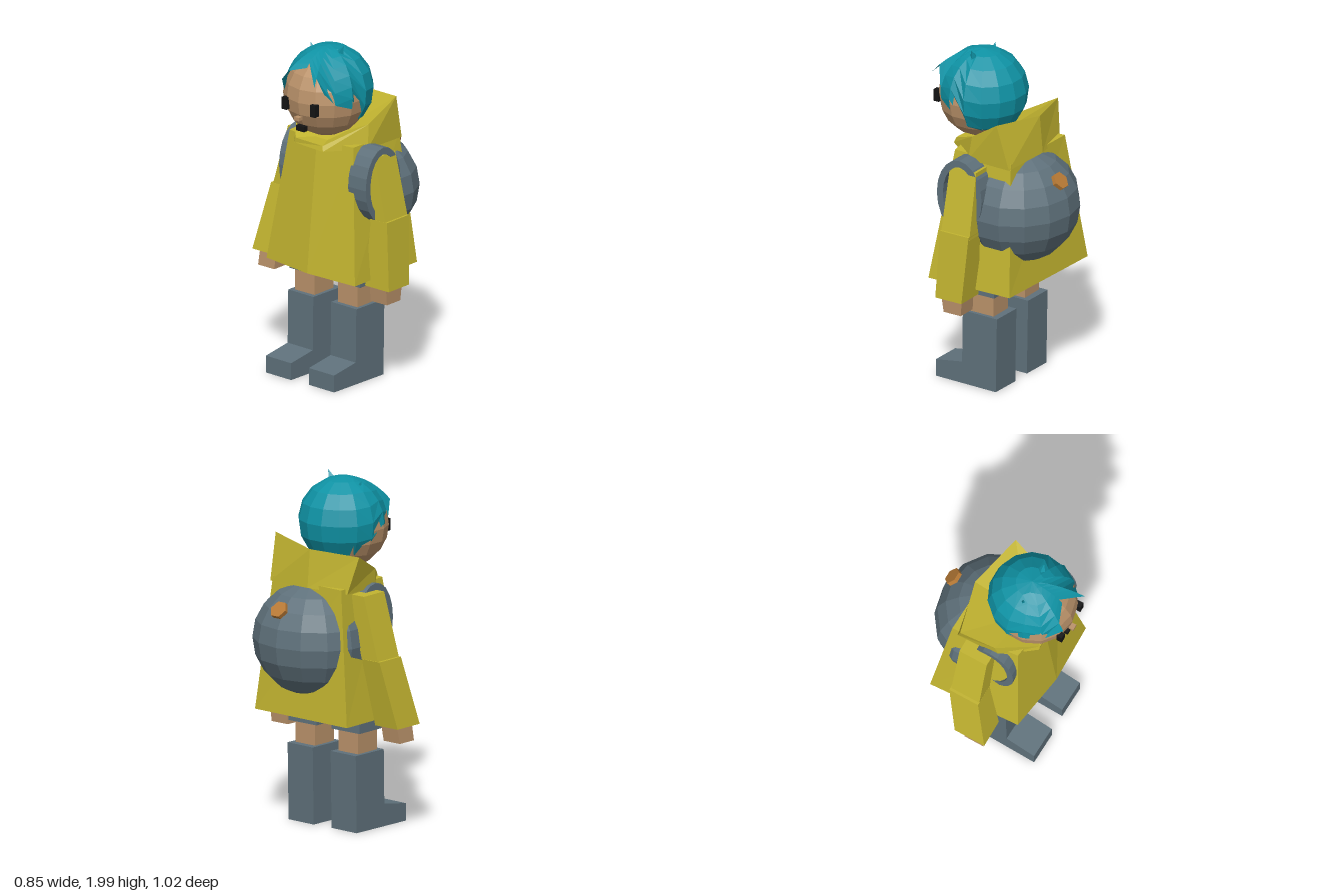
import * as THREE from 'three';

const mat = (color, side = THREE.FrontSide) =>
  new THREE.MeshStandardMaterial({ color, flatShading: true, roughness: 0.9, side });

// Closed skin over rings of [x, y, z] points, listed bottom to top, counterclockwise from above
function loft(rings) {
  const n = rings[0].length, index = [];
  rings.forEach((_, r) => {
    if (r === rings.length - 1) return;
    for (let i = 0; i < n; i++) {
      const a = r * n + i, b = r * n + (i + 1) % n;
      index.push(a, b, b + n, a, b + n, a + n);
    }
  });
  const top = (rings.length - 1) * n;
  for (let i = 1; i < n - 1; i++) index.push(0, i + 1, i, top, top + i, top + i + 1);
  const g = new THREE.BufferGeometry();
  g.setAttribute('position', new THREE.Float32BufferAttribute(rings.flat(2), 3));
  g.setIndex(index);
  const flat = g.toNonIndexed();
  flat.computeVertexNormals();
  return flat;
}
const rect = (y, x0, x1, z0, z1) => [[x1, y, z1], [x1, y, z0], [x0, y, z0], [x0, y, z1]];

export function createModel() {
  const model = new THREE.Group();
  const yellow = mat(0xc2b430), teal = mat(0x0f93a5, THREE.DoubleSide), grey = mat(0x5f717b);
  const skin = mat(0xba926a), black = mat(0x141414), orange = mat(0xb87a35);
  const add = (name, geometry, material, x = 0, y = 0, z = 0) => {
    const m = new THREE.Mesh(geometry, material);
    m.name = name;
    m.position.set(x, y, z);
    model.add(m);
    return m;
  };

  // Head and face
  add('head', new THREE.SphereGeometry(0.243, 14, 10), skin, -0.17, 1.692, 0.045);
  for (const z of [-0.06, 0.15]) add('eye', new THREE.BoxGeometry(0.035, 0.07, 0.035), black, -0.395, 1.665, z);
  add('nose', new THREE.BoxGeometry(0.03, 0.02, 0.035), skin, -0.412, 1.6, 0.045);
  add('mouth', new THREE.BoxGeometry(0.03, 0.03, 0.06), black, -0.383, 1.535, 0.045);

  // Hair: a sphere whose columns end at different heights, with two long front locks
  const cols = 15, rows = 7;
  const ends = [50, 73, 112, 104, 148, 152, 152, 152];
  const hair = new THREE.SphereGeometry(0.252, cols, rows);
  const p = hair.attributes.position;
  for (let r = 0; r <= rows; r++) for (let c = 0; c <= cols; c++) {
    const k = Math.min(c % cols, cols - c % cols), v = r / rows;
    const theta = THREE.MathUtils.degToRad(ends[k]) * v, phi = c / cols * Math.PI * 2;
    const rad = 0.252 + (k === 1 ? 0.055 * v ** 3 : 0);
    p.setXYZ(r * (cols + 1) + c, -rad * Math.sin(theta) * Math.cos(phi),
      rad * Math.cos(theta), rad * Math.sin(theta) * Math.sin(phi));
  }
  hair.computeVertexNormals();
  add('hair', hair, teal, -0.15, 1.72, 0.05);

  // Tufts on the crown
  for (const [z, tipY, lean] of [[0.135, 1.995, 0.5], [-0.05, 1.962, -0.5]]) {
    const tuft = add('hairTuft', new THREE.ConeGeometry(0.055, 0.13, 4), teal, -0.16, tipY - 0.06, z);
    tuft.rotation.x = lean;
  }

  // Coat body
  add('coat', loft([
    [[0.28, 0.66, -0.35], [-0.265, 0.65, -0.315], [-0.318, 0.65, 0.03], [-0.31, 0.65, 0.375], [0.23, 0.65, 0.37]],
    [[0.2, 1.42, -0.24], [-0.2, 1.42, -0.2], [-0.235, 1.42, 0.03], [-0.2, 1.42, 0.27], [0.18, 1.42, 0.28]],
  ]), yellow);

  // Lowered hood: flared collar sloping down to the front, hollow inside
  const hoodBase = [[0.21, 1.4, 0], [0.16, 1.39, -0.25], [-0.1, 1.39, -0.24], [-0.28, 1.39, -0.1],
    [-0.3, 1.39, 0.13], [-0.1, 1.39, 0.29], [0.18, 1.39, 0.3]];
  const hoodRim = [[0.19, 1.62, 0], [0.115, 1.605, -0.3], [-0.08, 1.5, -0.25], [-0.28, 1.42, -0.09],
    [-0.29, 1.42, 0.12], [-0.08, 1.53, 0.28], [0.11, 1.655, 0.32]];
  const neck = [-0.12, 1.42, 0.04];
  const hoodInside = hoodRim.map(q => q.map((v, i) => v + (neck[i] - v) * 0.55));
  add('hood', loft([hoodBase, hoodRim, hoodInside]), yellow);

  // Arms: upper sleeve, lower sleeve, hand
  const arms = {
    near: [
      [rect(0.99, -0.16, 0.03, 0.36, 0.475), rect(1.37, -0.155, 0.02, 0.28, 0.39)],
      [rect(0.61, -0.175, 0, 0.335, 0.51), rect(1.01, -0.16, 0.03, 0.365, 0.483)],
      [rect(0.515, -0.145, -0.03, 0.35, 0.47), rect(0.63, -0.16, -0.02, 0.355, 0.475)],
    ],
    far: [
      [rect(1, -0.08, 0.1, -0.43, -0.31), rect(1.38, -0.07, 0.105, -0.325, -0.22)],
      [rect(0.63, -0.16, 0.03, -0.51, -0.345), rect(1.02, -0.08, 0.105, -0.44, -0.31)],
      [rect(0.535, -0.14, -0.02, -0.485, -0.365), rect(0.65, -0.13, 0, -0.475, -0.36)],
    ],
  };
  for (const parts of Object.values(arms)) {
    ['upperSleeve', 'lowerSleeve', 'hand'].forEach((name, i) =>
      add(name, loft(parts[i]), name === 'hand' ? skin : yellow));
  }

  // Round backpack with a six-sided button
  add('backpack', new THREE.SphereGeometry(1, 14, 10), grey, 0.1, 1.085, 0.05).scale.set(0.325, 0.33, 0.355);
  const button = add('button', new THREE.CylinderGeometry(0.053, 0.053, 0.025, 6), orange, 0.37, 1.29, 0.07);
  button.rotation.z = -0.85;

  // Shoulder straps
  const loop = new THREE.Shape().absellipse(-0.09, 1.2, 0.15, 0.22, 0, Math.PI * 2);
  loop.holes.push(new THREE.Path().absellipse(-0.09, 1.2, 0.11, 0.18, 0, Math.PI * 2));
  const strap = new THREE.ExtrudeGeometry(loop, { depth: 0.13, bevelEnabled: false, curveSegments: 10 });
  add('strap', strap, grey, 0, 0, 0.265);
  add('strap', strap, grey, 0.03, 0, -0.27).scale.z = 0.8;

  // Legs: shorts cuff, bare knee, boot
  const outline = [[-0.34, 0], [0.07, 0], [0.078, 0.445], [-0.155, 0.445], [-0.16, 0.13], [-0.34, 0.1]];
  const boot = new THREE.ExtrudeGeometry(new THREE.Shape(outline.map(q => new THREE.Vector2(...q))),
    { depth: 0.19, bevelEnabled: false });
  boot.translate(0, 0, -0.095);
  for (const z of [0.165, -0.152]) {
    add('shorts', new THREE.BoxGeometry(0.2, 0.2, 0.205), grey, -0.04, 0.67, z);
    add('knee', new THREE.BoxGeometry(0.165, 0.2, 0.145), skin, -0.045, 0.52, z);
    add('boot', boot, grey, 0, 0, z).rotation.y = -0.03;
  }
  return model;
}
